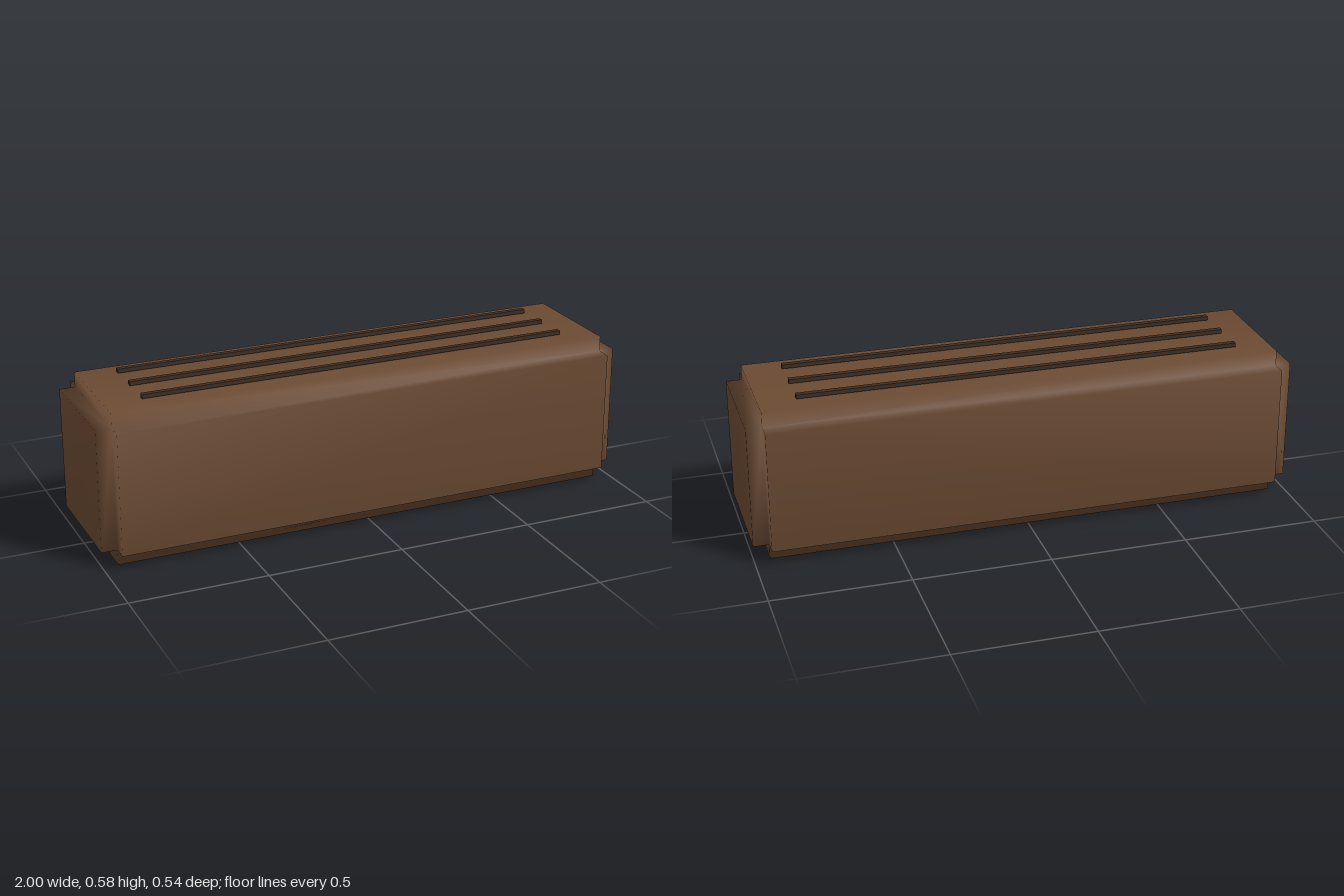
import * as THREE from 'three';
import { mergeVertices } from 'three/addons/utils/BufferGeometryUtils.js';

const brown = new THREE.MeshStandardMaterial({ color: 0x6b4a32 });
brown.name = 'warm brown';
const dark = new THREE.MeshStandardMaterial({ color: 0x3d2e24 });
dark.name = 'dark brown';

// Block whose six faces stand proud of a smaller core, leaving stepped edges.
function steppedBlock(outer, core) {
  const positions = [];
  // Corner with the given signs, pushed out along one axis (-1 for a core corner)
  const corner = (axis, signs) =>
    new THREE.Vector3(...signs.map((s, i) => s * (i === axis ? outer[i] : core[i])));

  // Quad wound so that it faces the wanted axis direction
  function quad(points, axis, sign) {
    const [a, b, c, d] = points;
    const normal = b.clone().sub(a).cross(c.clone().sub(a));
    const order = normal.getComponent(axis) * sign > 0 ? [a, b, c, a, c, d] : [a, c, b, a, d, c];
    order.forEach((p) => positions.push(p.x, p.y, p.z));
  }

  for (let a = 0; a < 3; a++) {
    const b = (a + 1) % 3, c = (a + 2) % 3;
    for (const s of [-1, 1]) {
      const signs = (sb, sc) => {
        const r = [0, 0, 0];
        r[a] = s; r[b] = sb; r[c] = sc;
        return r;
      };
      // Raised face
      quad([signs(-1, -1), signs(1, -1), signs(1, 1), signs(-1, 1)].map((v) => corner(a, v)), a, s);
      // Four narrow walls down to the core
      for (const t of [-1, 1]) {
        for (const [axis, p, q] of [[b, signs(t, -1), signs(t, 1)], [c, signs(-1, t), signs(1, t)]]) {
          quad([corner(a, p), corner(a, q), corner(-1, q), corner(-1, p)], axis, t);
        }
      }
    }
  }
  const geometry = new THREE.BufferGeometry();
  geometry.setAttribute('position', new THREE.Float32BufferAttribute(positions, 3));
  const merged = mergeVertices(geometry);
  merged.computeVertexNormals();
  return merged;
}

export function createModel() {
  const model = new THREE.Group();
  model.name = 'block';

  const body = new THREE.Mesh(steppedBlock([1, 0.2805, 0.27], [0.943, 0.2245, 0.2135]), brown);
  body.name = 'body';
  body.position.y = 0.2805;
  model.add(body);

  // Thin strips along the top
  const stripGeometry = new THREE.BoxGeometry(1.62, 0.015, 0.02);
  for (const z of [-0.135, 0, 0.135]) {
    const strip = new THREE.Mesh(stripGeometry, dark);
    strip.name = 'topStrip';
    strip.position.set(0, 0.5735, z);
    model.add(strip);
  }
  return model;
}
